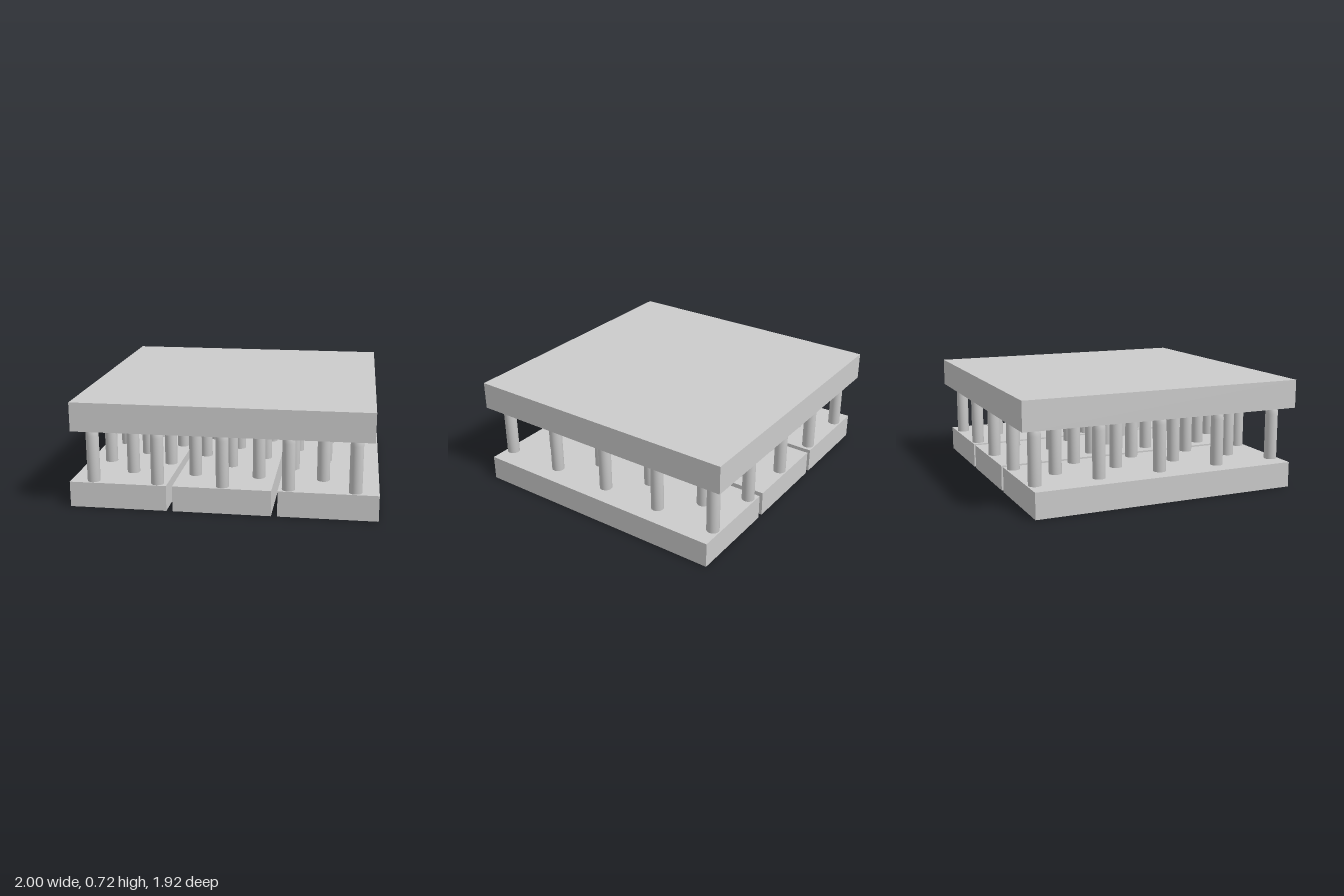
import * as THREE from 'three';

const material = new THREE.MeshStandardMaterial({ color: 0xcccccc });

// Box from its width, depth, centre x and vertical range
function slab(name, width, depth, x, y0, y1) {
  const mesh = new THREE.Mesh(new THREE.BoxGeometry(width, y1 - y0, depth), material);
  mesh.position.set(x, (y0 + y1) / 2, 0);
  mesh.name = name;
  return mesh;
}

export function createModel() {
  const model = new THREE.Group();
  model.name = 'pinnedPlatform';

  // Three base planks with narrow gaps, and the wide top plate
  ['rightPlank', 'middlePlank', 'leftPlank'].forEach((name, i) => {
    model.add(slab(name, 0.64, 1.8, (i - 1) * 0.68, 0, 0.17));
  });
  model.add(slab('topPlate', 1.92, 1.92, 0, 0.53, 0.72));

  // Round pin with a softened shoulder just under the top plate
  const profile = [
    [0, 0.1], [0.042, 0.1], [0.042, 0.48], [0.041, 0.5], [0.038, 0.52], [0.033, 0.535], [0.02, 0.545], [0, 0.55],
  ].map(([r, y]) => new THREE.Vector2(r, y));
  const pinGeometry = new THREE.LatheGeometry(profile, 24);

  // Pins staggered on every other point of a 9 x 9 grid
  const pins = new THREE.Group();
  pins.name = 'pins';
  const step = 0.2125;
  for (let i = -4; i <= 4; i++) {
    for (let j = -4; j <= 4; j++) {
      if ((i + j) % 2 !== 0) continue;
      const pin = new THREE.Mesh(pinGeometry, material);
      pin.position.set(i * step, 0, j * step);
      pin.name = 'pin';
      pins.add(pin);
    }
  }
  model.add(pins);
  return model;
}
